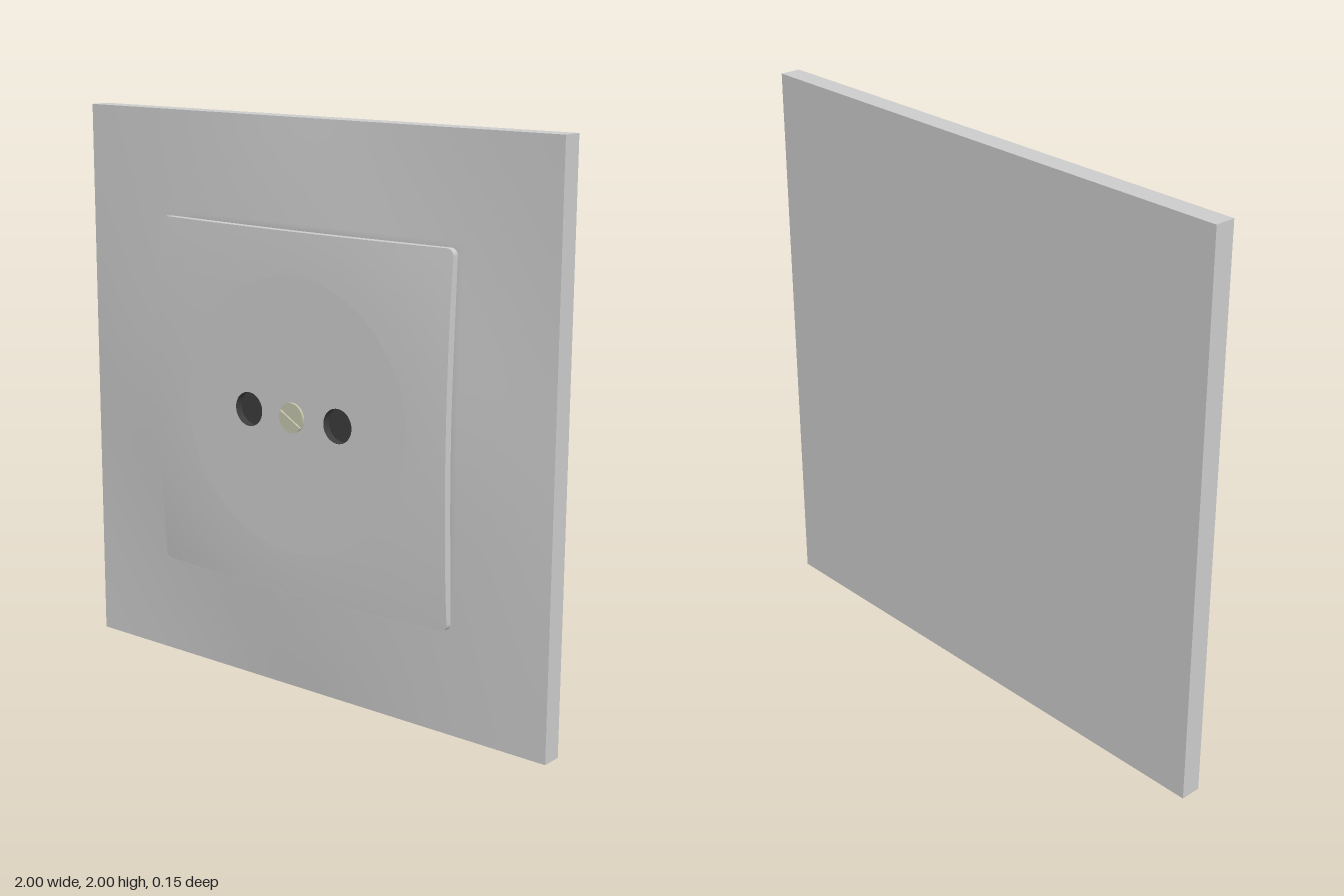
import * as THREE from 'three';

const FACE_Z = 0.066, DISC_R = 0.48, HALF = 0.63, CORNER = 0.025;
const HOLE_X = 0.195, HOLE_R = 0.06;

const grey = new THREE.MeshStandardMaterial({ color: 0xcccccc });
const dark = new THREE.MeshStandardMaterial({ color: 0x3c3c3c, side: THREE.DoubleSide });
const metal = new THREE.MeshStandardMaterial({ color: 0xc4c4ac });

function part(parent, name, geometry, material = grey) {
  const mesh = new THREE.Mesh(geometry, material);
  mesh.name = name;
  parent.add(mesh);
  return mesh;
}

// Square wall plate whose front swells gently from its straight edges
function frameGeometry() {
  const g = new THREE.BoxGeometry(2, 2, 0.075, 40, 40, 1).translate(0, 0, -0.0375);
  const p = g.attributes.position;
  for (let i = 0; i < p.count; i++) {
    const x = p.getX(i), y = p.getY(i);
    if (p.getZ(i) < -0.01) continue;
    // flat seat hidden below the cover
    const seat = Math.max(Math.abs(x), Math.abs(y)) < 0.57;
    p.setZ(i, seat ? 0 : 0.05 * (1 - x * x) * (1 - y * y) / (1 + 4 * x * x * y * y));
  }
  g.computeVertexNormals();
  return g;
}

// Counter-clockwise outline of the rounded square cover
function coverOutline() {
  const pts = [], c = HALF - CORNER, sideSteps = 24, arcSteps = 5;
  for (let k = 0; k < 4; k++) {
    const turn = k * Math.PI / 2, origin = new THREE.Vector2();
    for (let i = 0; i < sideSteps; i++)
      pts.push(new THREE.Vector2(HALF, -c + 2 * c * i / sideSteps).rotateAround(origin, turn));
    for (let i = 0; i < arcSteps; i++) {
      const a = i / arcSteps * Math.PI / 2;
      pts.push(new THREE.Vector2(c + CORNER * Math.cos(a), c + CORNER * Math.sin(a)).rotateAround(origin, turn));
    }
  }
  return pts;
}

// Joins closed rings of points, listed from inside to outside
function loft(rings) {
  const n = rings[0].length, index = [];
  for (let r = 0; r < rings.length - 1; r++)
    for (let i = 0; i < n; i++) {
      const a = r * n + i, b = r * n + (i + 1) % n;
      index.push(a, a + n, b, b, a + n, b + n);
    }
  const g = new THREE.BufferGeometry().setFromPoints(rings.flat());
  g.setIndex(index);
  g.computeVertexNormals();
  return g;
}

function coverHeight(r) {
  const d = Math.max(0, r - DISC_R);
  return FACE_Z - 0.026 * d - 0.13 * d * d;
}

function createCover() {
  const cover = new THREE.Group();
  cover.name = 'cover';
  const outline = coverOutline();

  // Curved surround between the central disc and the square rim
  const rings = [];
  for (let s = 0; s <= 10; s++)
    rings.push(outline.map(p => {
      const q = p.clone().setLength(DISC_R).lerp(p, s / 10);
      return new THREE.Vector3(q.x, q.y, coverHeight(q.length()));
    }));
  part(cover, 'coverSurround', loft(rings));

  // Rim wall running back into the frame
  const rim = rings[rings.length - 1];
  part(cover, 'coverRim', loft([rim, rim.map(v => new THREE.Vector3(v.x, v.y, 0))]));

  // Flat central disc with two pin holes
  const disc = new THREE.Shape(outline.map(p => p.clone().setLength(DISC_R)));
  for (const side of [-1, 1])
    disc.holes.push(new THREE.Path().absarc(side * HOLE_X, 0, HOLE_R, 0, Math.PI * 2, true));
  part(cover, 'centralDisc', new THREE.ShapeGeometry(disc, 24)).position.z = FACE_Z;

  // Dark recesses behind the holes
  const profile = [[0, -0.03], [HOLE_R, -0.03], [HOLE_R, -0.03], [HOLE_R, 0]].map(a => new THREE.Vector2(...a));
  for (const side of [-1, 1]) {
    const cup = part(cover, side > 0 ? 'leftPinHole' : 'rightPinHole',
      new THREE.LatheGeometry(profile, 48).rotateX(Math.PI / 2), dark);
    cup.position.set(side * HOLE_X, 0, FACE_Z);
  }
  return cover;
}

// Slotted screw: a low base with two half-round lands
function createScrew() {
  const screw = new THREE.Group();
  screw.name = 'screw';
  const r = 0.052, gap = 0.006, a = Math.asin(gap / r);
  part(screw, 'screwBase', new THREE.CylinderGeometry(r, r, 0.012, 40).rotateX(Math.PI / 2), metal).position.z = FACE_Z - 0.004;
  const land = new THREE.Shape().absarc(0, 0, r, a, Math.PI - a, false);
  const geometry = new THREE.ExtrudeGeometry(land, { depth: 0.009, bevelEnabled: false, curveSegments: 24 });
  for (const turn of [0, Math.PI]) {
    const half = part(screw, 'screwLand', geometry, metal);
    half.position.z = FACE_Z;
    half.rotation.z = turn;
  }
  screw.rotation.z = -Math.PI / 6;
  return screw;
}

export function createModel() {
  const model = new THREE.Group();
  model.name = 'wallSocket';
  const body = new THREE.Group();
  body.name = 'socketBody';
  body.position.y = 1;
  part(body, 'frame', frameGeometry());
  body.add(createCover(), createScrew());
  model.add(body);
  return model;
}
